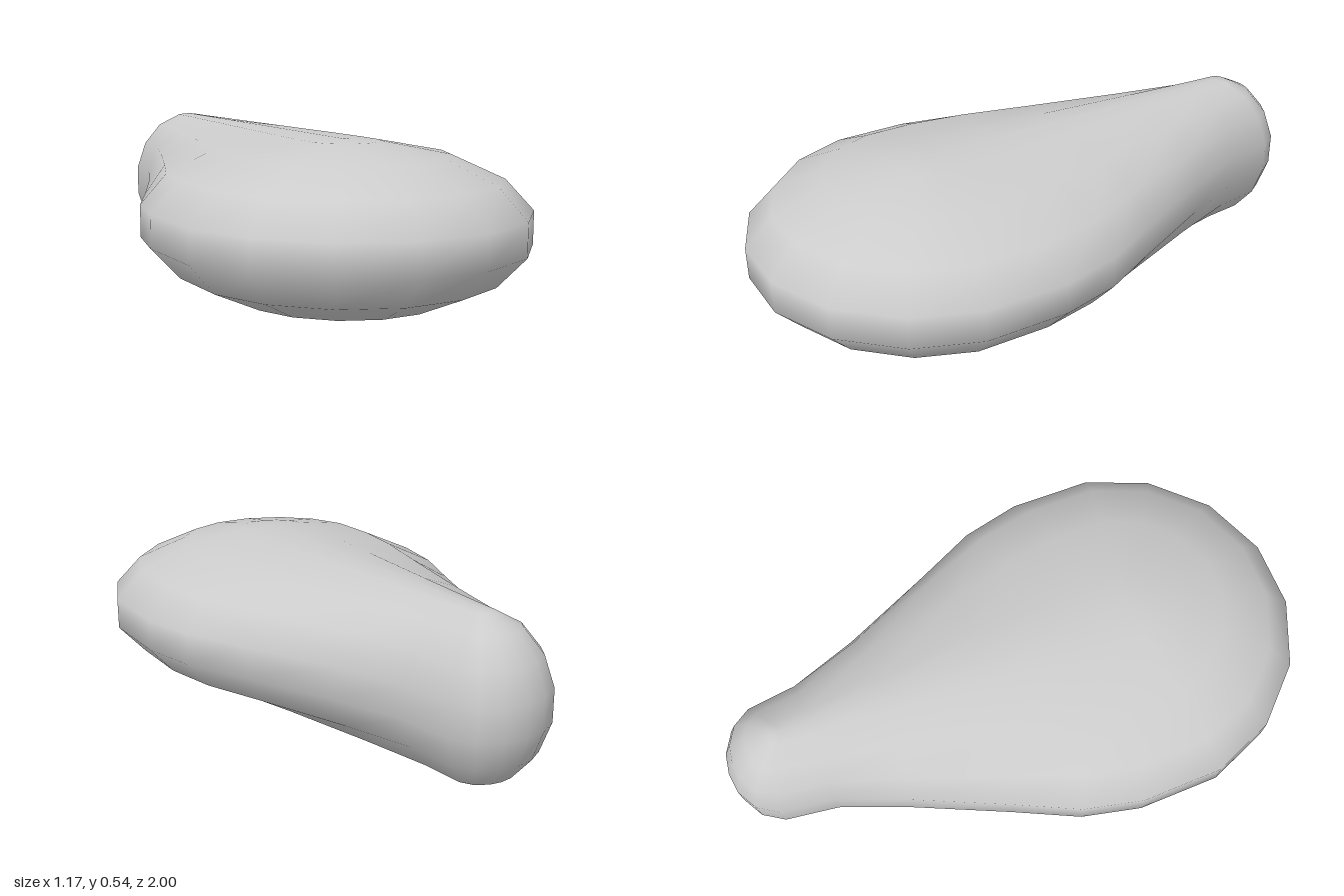
import * as THREE from 'three';
import { mergeVertices } from 'three/addons/utils/BufferGeometryUtils.js';

// Half of the plan outline, front to back: [x, z, z of the nearest spine point]
const HALF = [
  [0.114, 1.0, 0.41], [0.33, 0.91, 0.41], [0.496, 0.74, 0.41], [0.582, 0.53, 0.41],
  [0.586, 0.25, 0.36], [0.54, 0.05, 0.2], [0.44, -0.16, -0.05], [0.3, -0.47, -0.42],
  [0.21, -0.7, -0.68], [0.185, -0.88, -0.775], [0.14, -0.95, -0.775], [0.07, -0.99, -0.775],
];
const HALF_HEIGHT = 0.272;
const STEP = Math.PI / 8; // sixteen-sided cross-section

function bodyGeometry() {
  // Mirror the outline into a closed loop
  const outline = [
    ...HALF,
    [0, -1, -0.775],
    ...HALF.slice().reverse().map(([x, z, s]) => [-x, z, s]),
  ];
  // Latitudes from the bottom ridge to the top ridge
  const latitudes = [-Math.PI / 2];
  for (let k = -3.5; k <= 3.5; k++) latitudes.push(k * STEP);
  latitudes.push(Math.PI / 2);

  // Each level shrinks the outline towards the spine
  const positions = [];
  const n = outline.length;
  for (const lat of latitudes) {
    const c = Math.abs(lat) > 1.57 ? 0 : Math.cos(lat) / Math.cos(STEP / 2);
    const y = HALF_HEIGHT * (1 + Math.sin(lat));
    for (const [x, z, spine] of outline) positions.push(x * c, y, spine + (z - spine) * c);
  }

  const index = [];
  for (let j = 0; j < latitudes.length - 1; j++) {
    for (let i = 0; i < n; i++) {
      const a = j * n + i, b = j * n + (i + 1) % n;
      index.push(a, b, b + n, a, b + n, a + n);
    }
  }
  const geometry = new THREE.BufferGeometry();
  geometry.setAttribute('position', new THREE.Float32BufferAttribute(positions, 3));
  geometry.setIndex(index);
  // Weld the ridges so that shading stays smooth across them
  const welded = mergeVertices(geometry, 1e-4);
  welded.computeVertexNormals();
  return welded;
}

export function createModel() {
  const model = new THREE.Group();
  model.name = 'pearShapedPebble';
  const body = new THREE.Mesh(bodyGeometry(), new THREE.MeshStandardMaterial({ color: 0xcccccc }));
  body.name = 'body';
  model.add(body);
  return model;
}
